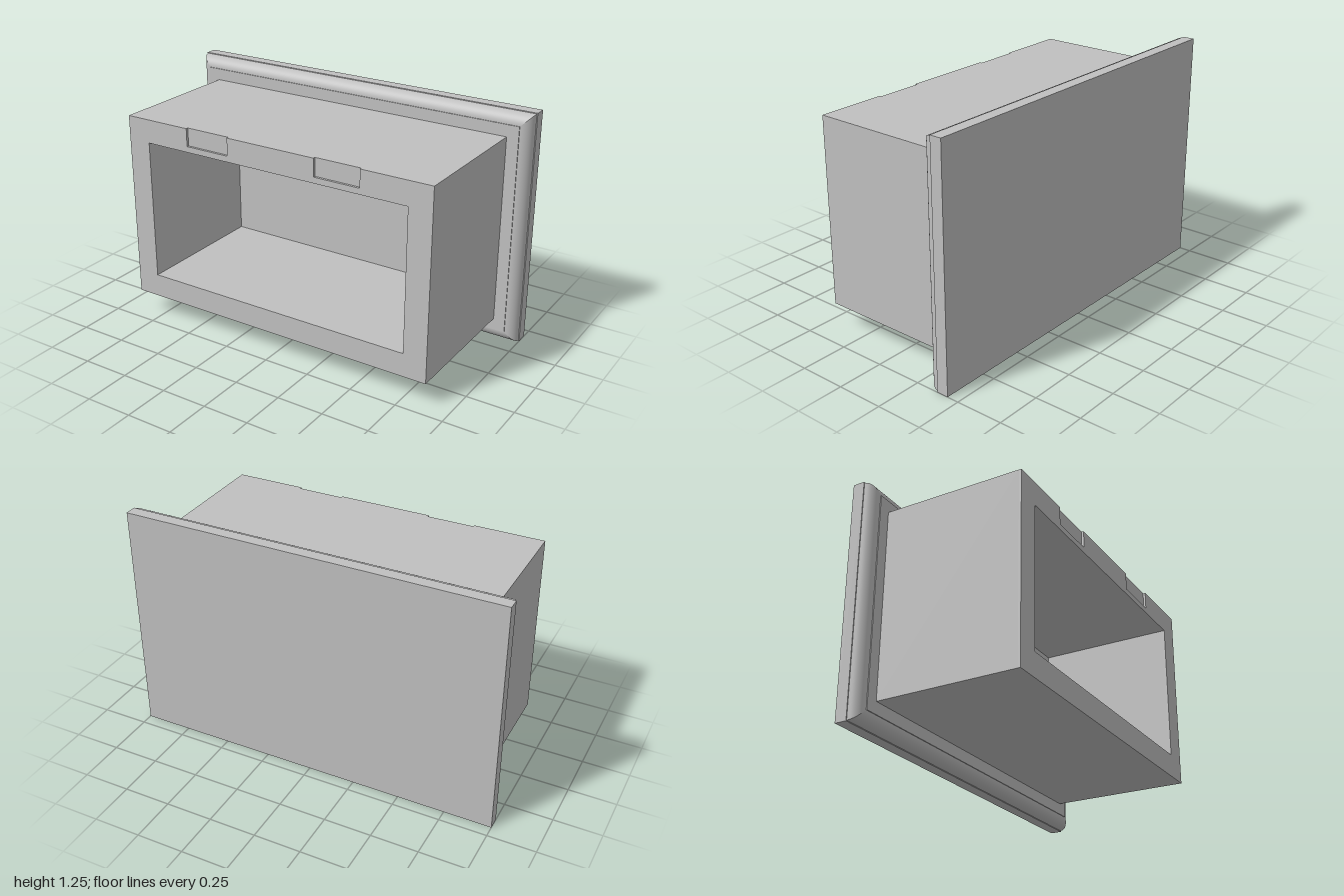
import * as THREE from 'three';

const grey = new THREE.MeshStandardMaterial({ color: 0xc0c0c0 });
grey.name = 'plain grey';

const MID = 0.625; // height of the centre line
const NOTCH_DEPTH = 0.0125;

// Rectangular tube outline, optionally with two notches cut into its top edge
function tubeShape(notched) {
  const top = 0.5, cut = 0.406;
  const points = [[-0.875, -0.5], [0.875, -0.5], [0.875, top]];
  if (notched) {
    for (const x of [0.5, -0.25]) {
      points.push([x, top], [x, cut], [x - 0.25, cut], [x - 0.25, top]);
    }
  }
  points.push([-0.875, top]);
  const shape = new THREE.Shape(points.map(([x, y]) => new THREE.Vector2(x, y)));
  shape.holes.push(new THREE.Path(
    [[-0.75, -0.375], [-0.75, 0.375], [0.75, 0.375], [0.75, -0.375]]
      .map(([x, y]) => new THREE.Vector2(x, y))));
  return shape;
}

// One mitred quarter-round strip: half length and half width are those of its inner edge
function quarterRound(halfLength, halfWidth, radius, steps = 14) {
  const position = [], index = [];
  for (let i = 0; i <= steps; i++) {
    const a = (i / steps) * Math.PI / 2;
    const out = radius * Math.cos(a), z = radius * Math.sin(a);
    position.push(-halfLength - out, halfWidth + out, z, halfLength + out, halfWidth + out, z);
    if (i < steps) {
      const k = i * 2;
      index.push(k, k + 2, k + 1, k + 1, k + 2, k + 3);
    }
  }
  const g = new THREE.BufferGeometry();
  g.setAttribute('position', new THREE.Float32BufferAttribute(position, 3));
  g.setIndex(index);
  g.computeVertexNormals();
  return g;
}

export function createModel() {
  const model = new THREE.Group();
  model.name = 'flangedBox';
  const add = (name, geometry, y, z) => {
    const mesh = new THREE.Mesh(geometry, grey);
    mesh.name = name;
    mesh.position.set(0, y, z);
    model.add(mesh);
    return mesh;
  };

  // Back plate and its raised centre panel
  add('backPlate', new THREE.BoxGeometry(2, 1.25, 0.0625), MID, -0.40625);
  add('centrePanel', new THREE.BoxGeometry(1.875, 1.125, 0.0625), MID, -0.34375);

  // Rounded rim on all four sides of the panel
  for (let i = 0; i < 4; i++) {
    const side = i % 2;
    const strip = quarterRound(side ? 0.5625 : 0.9375, side ? 0.9375 : 0.5625, 0.058);
    add('roundedRim' + (i + 1), strip, MID, -0.375).rotation.z = i * Math.PI / 2;
  }

  // Hollow body, then a thin notched front layer
  const extrude = (notched, depth) =>
    new THREE.ExtrudeGeometry(tubeShape(notched), { depth, bevelEnabled: false });
  add('hollowBody', extrude(false, 0.75 - NOTCH_DEPTH), MID, -0.3125);
  add('notchedFront', extrude(true, NOTCH_DEPTH), MID, 0.4375 - NOTCH_DEPTH);

  return model;
}
